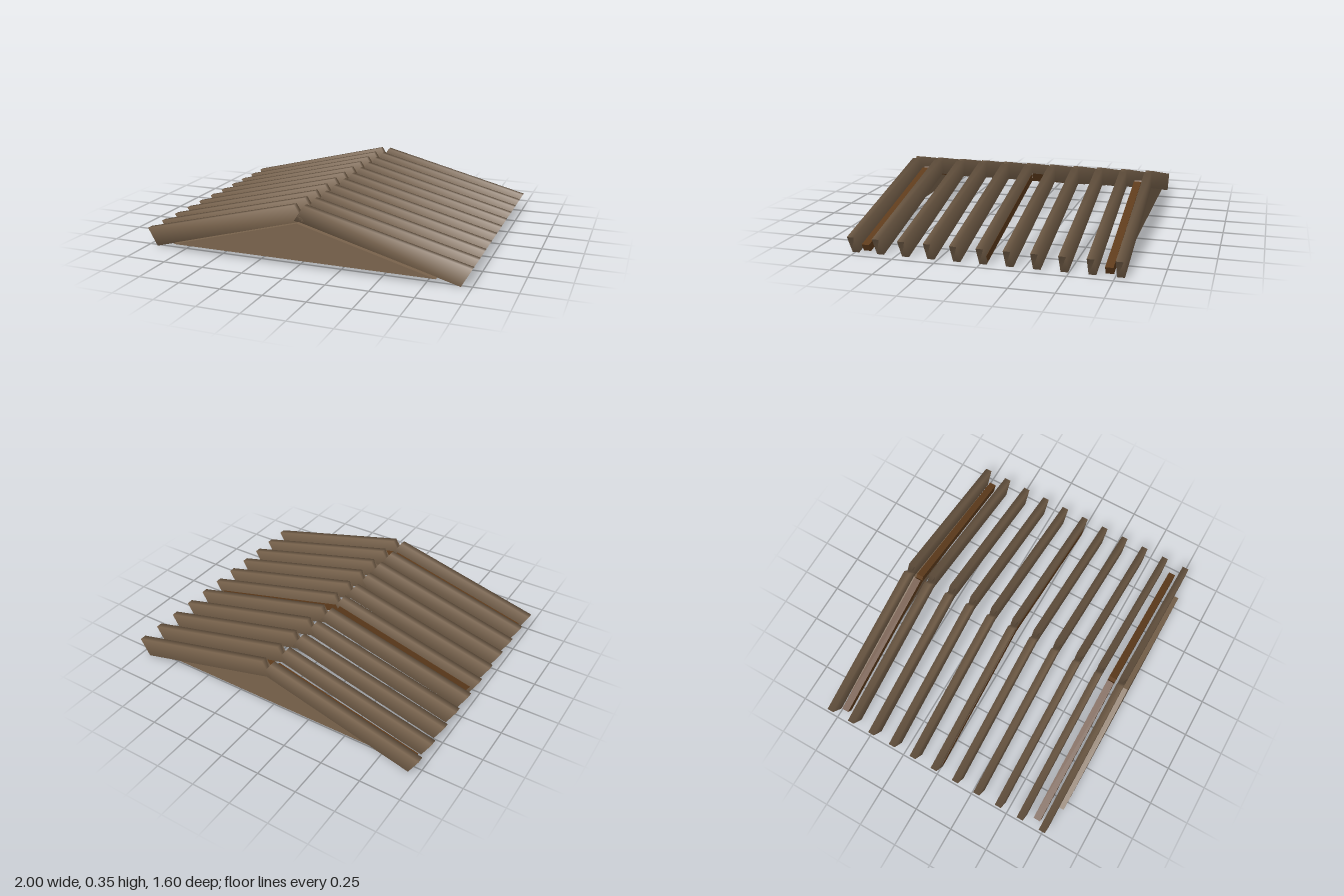
import * as THREE from 'three';
import { mergeVertices } from 'three/addons/utils/BufferGeometryUtils.js';

const wood = new THREE.MeshStandardMaterial({ color: 0x7a644d });
wood.name = 'weathered wood';
const darkWood = new THREE.MeshStandardMaterial({ color: 0x5f3c1c });
darkWood.name = 'dark wood';

// Extrudes an outline in x/y to a plank centred on z = 0
function plank(points, thickness) {
  const shape = new THREE.Shape(points.map(([x, y]) => new THREE.Vector2(x, y)));
  const geometry = new THREE.ExtrudeGeometry(shape, { depth: thickness, bevelEnabled: false });
  return geometry.translate(0, 0, -thickness / 2);
}

// Shares the corners so that the shading runs softly round the beam
function soften(geometry) {
  geometry.deleteAttribute('normal');
  geometry.deleteAttribute('uv');
  const soft = mergeVertices(geometry, 1e-4);
  soft.computeVertexNormals();
  return soft;
}

const mirror = (points) => points.map(([x, y]) => [-x, y]).reverse();

export function createModel() {
  const roof = new THREE.Group();
  roof.name = 'roofFrame';

  const add = (parent, name, geometry, material, z = 0) => {
    const mesh = new THREE.Mesh(geometry, material);
    mesh.name = name;
    mesh.position.z = z;
    parent.add(mesh);
  };

  // Rafter pairs, leaning together with a small notch at the ridge
  const rafter = [[-1, 0.107], [-0.94, 0], [0.03, 0.261], [-0.03, 0.353]];
  const rightRafter = soften(plank(rafter, 0.042));
  const leftRafter = soften(plank(mirror(rafter), 0.042));
  for (let i = 0; i < 11; i++) {
    const pair = new THREE.Group();
    pair.name = 'rafterPair';
    pair.position.z = 0.748 - i * 0.1528;
    add(pair, 'rightRafter', rightRafter, wood);
    add(pair, 'leftRafter', leftRafter, wood);
    roof.add(pair);
  }

  // Slimmer dark braces near both ends and at the middle
  const brace = [[-0.945, 0.051], [-0.92, 0.008], [0.01, 0.247], [-0.015, 0.29]];
  const rightBrace = plank(brace, 0.045);
  const leftBrace = plank(mirror(brace), 0.045);
  for (const z of [0.685, -0.016, -0.717]) {
    add(roof, 'rightBrace', rightBrace, darkWood, z);
    add(roof, 'leftBrace', leftBrace, darkWood, z);
  }

  // Triangular gable boards
  const gable = plank([[-0.81, 0.037], [0.81, 0.037], [0, 0.257]], 0.034);
  add(roof, 'frontGable', gable, wood, 0.783);
  add(roof, 'backGable', gable, wood, -0.757);

  return roof;
}
